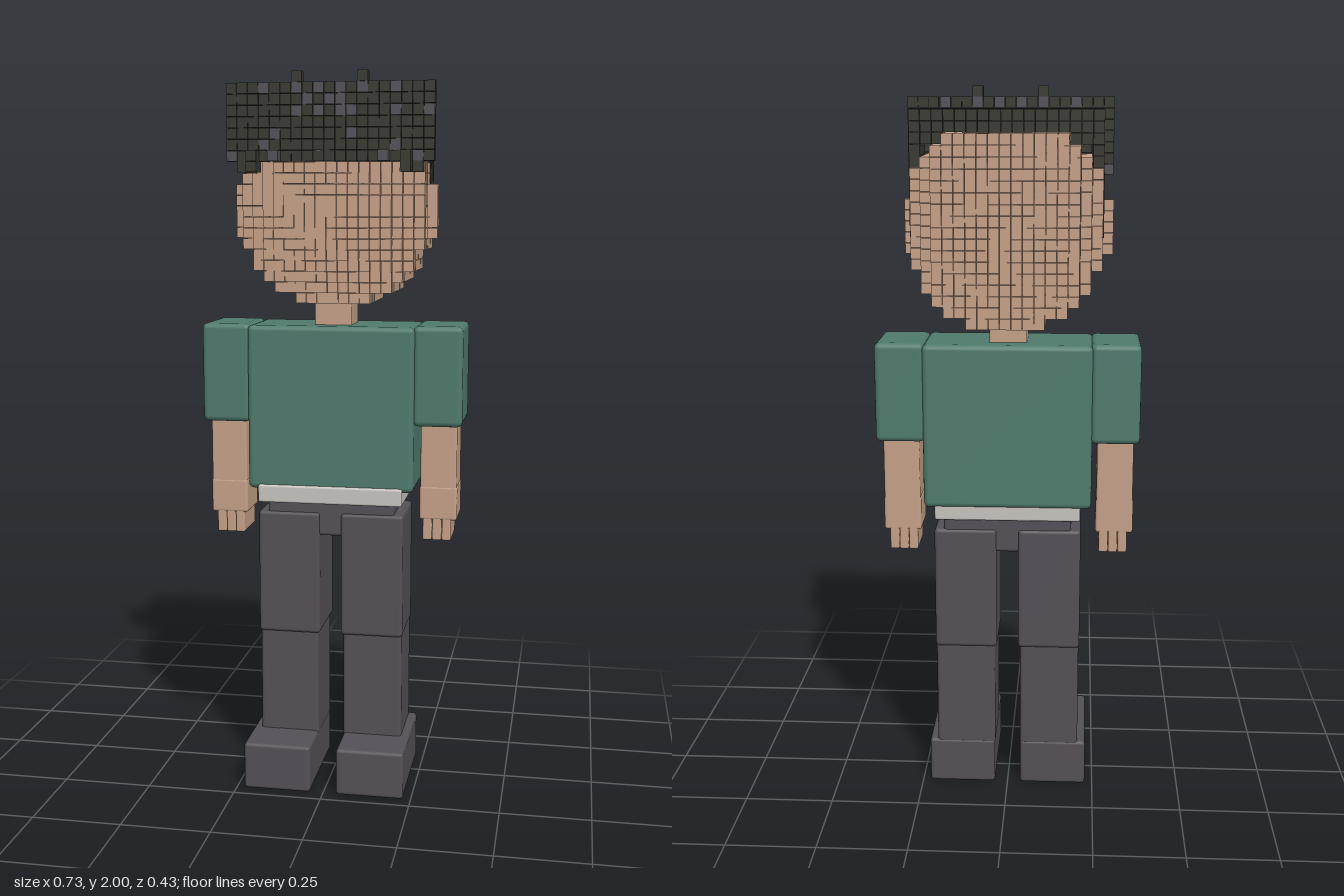
import * as THREE from 'three';
import { mergeGeometries } from 'three/addons/utils/BufferGeometryUtils.js';
import { RoundedBoxGeometry } from 'three/addons/geometries/RoundedBoxGeometry.js';

const colour = (name, hex) => {
  const m = new THREE.MeshStandardMaterial({ color: hex });
  m.name = name;
  return m;
};

export function createModel() {
  const skin = colour('skin', 0xc6a188);
  const shirt = colour('green shirt', 0x4f7b6d);
  const trousers = colour('grey trousers', 0x545058);
  const hairDark = colour('dark hair', 0x383831);
  const beltGrey = colour('light belt', 0xc8c5c0);
  const model = new THREE.Group();
  model.name = 'figure';

  // Rounded block given by its lower and upper corners
  function block(name, mat, x0, x1, y0, y1, z0, z1, r = 0.01) {
    const geo = new RoundedBoxGeometry(x1 - x0, y1 - y0, z1 - z0, 2, r);
    const mesh = new THREE.Mesh(geo, mat);
    mesh.name = name;
    mesh.position.set((x0 + x1) / 2, (y0 + y1) / 2, (z0 + z1) / 2);
    model.add(mesh);
  }

  // The same block on the left (+x) and right (-x) sides
  function pair(name, mat, x0, x1, ...rest) {
    block(name + 'Left', mat, x0, x1, ...rest);
    block(name + 'Right', mat, -x1, -x0, ...rest);
  }

  // Merges a list of [x, y, z] centres into one mesh of small cubes
  const pitch = 0.03;
  function cubes(name, mat, cells, depth = 0.0288) {
    const geo = mergeGeometries(cells.map(([x, y, z]) =>
      new THREE.BoxGeometry(0.0288, 0.0288, depth).translate(x, y, z)));
    const mesh = new THREE.Mesh(geo, mat);
    mesh.name = name;
    model.add(mesh);
  }

  // Legs and feet
  pair('shoe', trousers, 0.037, 0.228, 0, 0.135, -0.112, 0.215);
  pair('shin', trousers, 0.036, 0.205, 0.12, 0.445, -0.11, 0.087);
  pair('thigh', trousers, 0.03, 0.207, 0.432, 0.787, -0.117, 0.096);
  block('hips', trousers, -0.18, 0.18, 0.72, 0.825, -0.112, 0.09);

  // Torso
  block('belt', beltGrey, -0.205, 0.205, 0.815, 0.865, -0.12, 0.11, 0.006);
  block('torso', shirt, -0.235, 0.235, 0.852, 1.315, -0.125, 0.1, 0.015);
  block('neck', skin, -0.052, 0.052, 1.3, 1.39, -0.07, 0.045, 0.006);

  // Arms and hands
  pair('sleeve', shirt, 0.23, 0.367, 1.04, 1.318, -0.12, 0.09, 0.015);
  pair('forearm', skin, 0.25, 0.352, 0.85, 1.05, -0.075, 0.055, 0.006);
  pair('hand', skin, 0.248, 0.354, 0.77, 0.868, -0.075, 0.056, 0.008);
  for (let i = 0; i < 3; i++) {
    const x = 0.258 + i * 0.027;
    pair('finger' + i, skin, x, x + 0.026, 0.712, 0.79, -0.075, 0.055, 0.005);
  }

  // Head outline: half width in columns for each row, chin to crown
  const rows = [3, 5, 6, 7, 7, 8, 9, 9, 9, 9, 9, 8, 8, 8, 7, 6, 5];
  const rowY = j => 1.389 + j * 0.0298;
  const layerCap = [9, 8, 8, 8, 8, 7, 6];

  // Back of head: hollow slices that narrow towards a closed back
  const half = (j, k) => rows[j] === undefined ? -1 : Math.min(rows[j], layerCap[k]);
  const backCells = [];
  for (let k = 0; k < 7; k++) {
    for (let j = 0; j < 17; j++) {
      const h = half(j, k);
      for (let i = -h; i <= h; i++) {
        const a = Math.abs(i);
        const rim = a >= h || a > half(j - 1, k) || a > half(j + 1, k);
        if (rim || k === 6 || a > layerCap[k + 1])
          backCells.push([i * pitch, rowY(j), -0.0155 - k * 0.031]);
      }
    }
  }
  cubes('backOfHead', skin, backCells, 0.0296);

  // Face: a shallow domed plate of cubes
  const faceCells = [];
  for (let j = 0; j < 17; j++) {
    const h = Math.min(rows[j], 8);
    for (let i = -h; i <= h; i++) {
      const dome = Math.max(0, 1 - (i / 9) ** 2) * Math.max(0, 1 - ((j - 8.5) / 9.5) ** 2);
      faceCells.push([i * pitch, rowY(j), 0.026 + 0.036 * dome]);
    }
  }
  cubes('face', skin, faceCells, 0.032);

  // Cap of hair over the top and sides
  const capCells = [];
  for (let k = 0; k < 4; k++) {
    for (let j = 0; j < 6; j++) {
      for (let i = -8; i <= 8; i++) {
        if (Math.abs(i) === 8 || j >= 4 || (j === 3 && Math.abs(i) > 5))
          capCells.push([i * pitch * 1.003, 1.776 + j * pitch, -0.045 - k * pitch]);
      }
    }
  }
  cubes('hairCap', hairDark, capCells, 0.0296);

  // Thin strands in front of the ears
  for (const [z, y0] of [[-0.139, 1.61], [-0.1, 1.62], [-0.07, 1.66]])
    pair('sideStrand', hairDark, 0.23, 0.257, y0, 1.78, z - 0.004, z + 0.004, 0.001);

  // Fringe: a flat wall of hair with scattered lighter cubes
  let seed = 7;
  const random = () => (seed = (seed * 16807) % 2147483647) / 2147483647;
  const fringeDark = [];
  const fringeLight = [];
  for (let j = 0; j < 7; j++) {
    for (let i = -9; i <= 9; i++) {
      const light = j === 6 ? [1, 3, 6].includes(Math.abs(i)) : random() < 0.16;
      (light ? fringeLight : fringeDark).push([i * pitch, 1.776 + j * pitch, 0.088]);
    }
  }
  for (const s of [-1, 1]) {
    fringeDark.push([s * 0.09, 1.985, 0.088], [s * 0.21, 1.956, 0.058],
      [s * 0.21, 1.776, 0.118], [s * 0.21, 1.747, 0.118],
      [s * 0.21, 1.747, 0.088], [s * 0.24, 1.747, 0.088]);
    fringeLight.push([s * 0.15, 1.776, 0.118]);
  }
  cubes('fringe', hairDark, fringeDark);
  cubes('fringeHighlights', trousers, fringeLight);

  return model;
}
